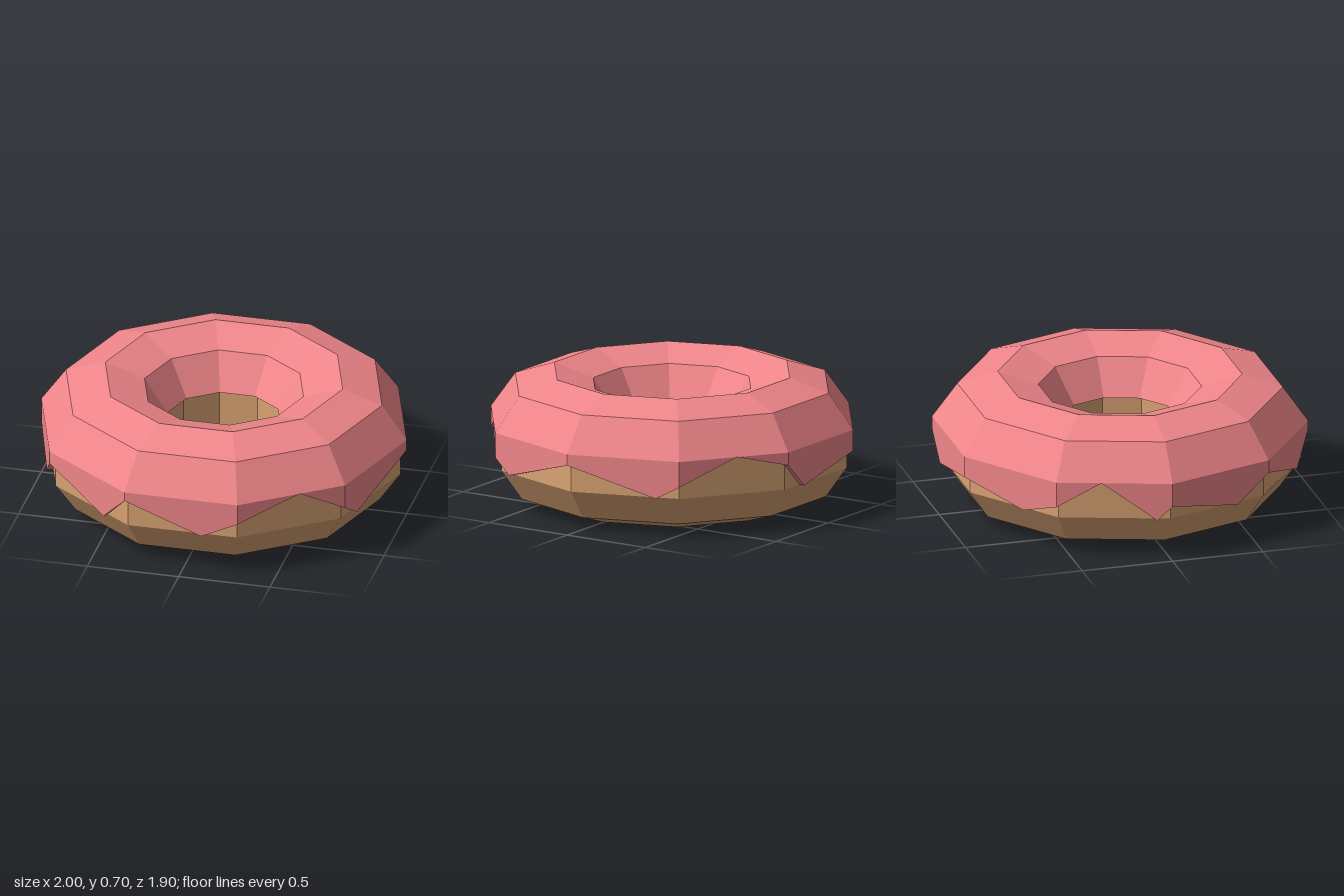
import * as THREE from 'three';

const SIDES = 10;
const doughMaterial = new THREE.MeshStandardMaterial({ color: 0xd9a373, flatShading: true });
const icingMaterial = new THREE.MeshStandardMaterial({ color: 0xf0868a, flatShading: true, side: THREE.DoubleSide });

// Ten-sided ring swept from a [radius, height] profile, with a corner on +x
function ring(name, profile, material) {
  const points = profile.map(([r, y]) => new THREE.Vector2(r, y));
  const mesh = new THREE.Mesh(new THREE.LatheGeometry(points, SIDES, Math.PI / 2), material);
  mesh.name = name;
  return mesh;
}

// Point on the ten-sided outline; s counts corners from +x towards +z
function outlinePoint(s, radius, y) {
  const corner = (i) => {
    const a = (i * Math.PI * 2) / SIDES;
    return new THREE.Vector3(Math.cos(a) * radius, y, Math.sin(a) * radius);
  };
  const i = Math.floor(s);
  return corner(i).lerp(corner(i + 1), s - i);
}

// Jagged icing edge as [position along outline, height]
const dripEdge = [
  [0, 0.38], [0.81, 0.23], [1, 0.305], [1.42, 0.44], [2, 0.325], [2.32, 0.23], [3, 0.39],
  [3.28, 0.23], [4, 0.37], [4.32, 0.23], [5, 0.31], [5.13, 0.23], [5.61, 0.44], [6, 0.30],
  [6.36, 0.23], [7, 0.325], [7.755, 0.23], [8, 0.37], [8.47, 0.44], [9, 0.30], [9.21, 0.23],
];

// Outer wall of the drips plus the thin underside that meets the dough
function drips() {
  const positions = [];
  const quad = (a, b, c, d) => [a, b, c, a, c, d].forEach((p) => positions.push(p.x, p.y, p.z));
  dripEdge.forEach(([s0, y0], i) => {
    const [s1, y1] = i + 1 < dripEdge.length ? dripEdge[i + 1] : [SIDES, dripEdge[0][1]];
    const low0 = outlinePoint(s0, 1, y0), low1 = outlinePoint(s1, 1, y1);
    quad(low0, outlinePoint(s0, 1, 0.44), outlinePoint(s1, 1, 0.44), low1);
    quad(low0, low1, outlinePoint(s1, 0.962, y1), outlinePoint(s0, 0.962, y0));
  });
  const geometry = new THREE.BufferGeometry();
  geometry.setAttribute('position', new THREE.Float32BufferAttribute(positions, 3));
  geometry.computeVertexNormals();
  const mesh = new THREE.Mesh(geometry, icingMaterial);
  mesh.name = 'icingDrips';
  return mesh;
}

export function createModel() {
  const model = new THREE.Group();
  model.name = 'doughnut';

  // Dough: closed octagonal section
  model.add(ring('dough', [
    [0.65, 0], [0.85, 0.065], [0.965, 0.23], [0.965, 0.44], [0.84, 0.6],
    [0.65, 0.66], [0.46, 0.6], [0.335, 0.44], [0.335, 0.23], [0.45, 0.065], [0.65, 0],
  ], doughMaterial));

  // Icing: cap over the top half, ending in a lip inside the hole
  model.add(ring('icing', [
    [1, 0.44], [0.865, 0.63], [0.65, 0.7], [0.435, 0.63], [0.31, 0.44], [0.335, 0.44],
  ], icingMaterial));
  model.add(drips());

  return model;
}
